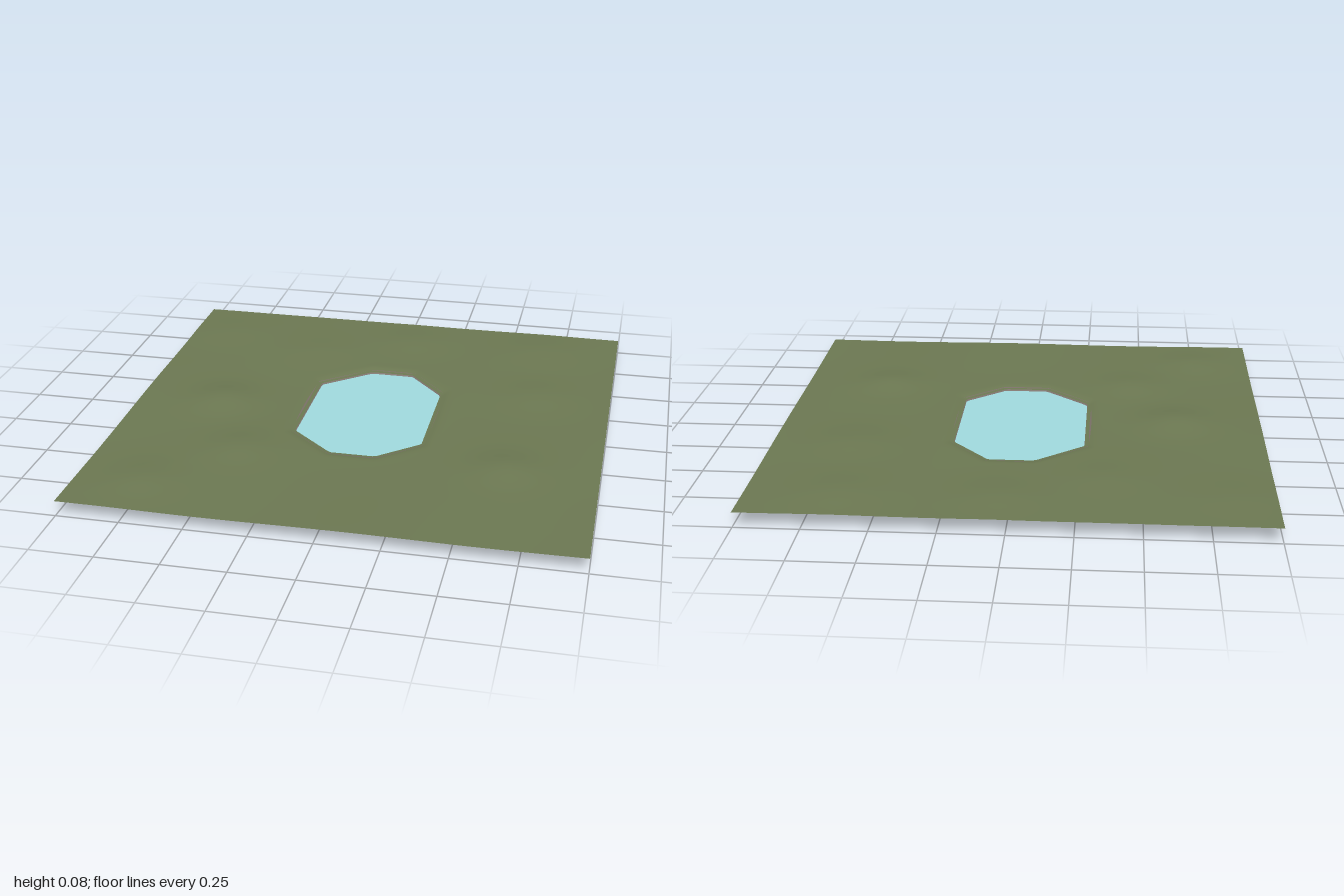
import * as THREE from 'three';

const SEGMENTS = 160;
const CENTRE_Z = -0.02;

// Waterline of the pond: an uneven, elongated octagon (x, z)
const OUTLINE = [
  [0.26, -0.25], [0.26, 0.23], [0.1, 0.37], [-0.08, 0.37],
  [-0.26, 0.21], [-0.26, -0.26], [-0.07, -0.42], [0.11, -0.42],
].map(([x, z]) => [x, z - CENTRE_Z]);

// Low mounds: x, z, height, radius
const MOUNDS = [
  [-0.64, 0, 0.024, 0.14], [0.63, 0.4, 0.02, 0.13], [0.05, -0.79, 0.012, 0.15],
  [-0.45, 0.43, 0.014, 0.13], [-0.75, 0.76, 0.015, 0.13], [0.68, -0.3, 0.013, 0.15],
  [-0.85, -0.75, 0.009, 0.16], [0.65, -0.8, 0.01, 0.15], [-0.35, -0.6, 0.007, 0.14],
];

function groundHeight(x, z) {
  let y = 0.061 + 0.0025 * Math.sin(6 * x + 1) * Math.cos(5 * z + 0.5);
  for (const [mx, mz, h, r] of MOUNDS) {
    y += h * Math.exp(-((x - mx) ** 2 + (z - mz) ** 2) / (r * r));
  }
  return y;
}

// Pond outline grown outward by a margin, hit along a ray from the centre
function pondPoint(angle, margin) {
  const dx = Math.cos(angle), dz = Math.sin(angle);
  let reach = Infinity;
  OUTLINE.forEach(([ax, az], i) => {
    const [bx, bz] = OUTLINE[(i + 1) % OUTLINE.length];
    const length = Math.hypot(bx - ax, bz - az);
    const nx = (bz - az) / length, nz = -(bx - ax) / length;
    const facing = dx * nx + dz * nz;
    if (facing > 1e-6) reach = Math.min(reach, (ax * nx + az * nz + margin) / facing);
  });
  return [dx * reach, dz * reach + CENTRE_Z];
}

// Square of the given half width, corners falling on 45 degree rays
function squarePoint(angle, half) {
  const dx = Math.cos(angle), dz = Math.sin(angle);
  const s = half / Math.max(Math.abs(dx), Math.abs(dz));
  return [dx * s, dz * s];
}

// Closed loops, innermost first, joined into an upward-facing surface
function loft(loops) {
  const positions = [], index = [];
  loops.forEach((loop, j) => {
    for (let i = 0; i < SEGMENTS; i++) {
      positions.push(...loop((i / SEGMENTS) * Math.PI * 2));
      if (j === 0) continue;
      const next = (i + 1) % SEGMENTS;
      const a = (j - 1) * SEGMENTS + i, b = (j - 1) * SEGMENTS + next;
      const c = j * SEGMENTS + i, d = j * SEGMENTS + next;
      index.push(a, b, c, b, d, c);
    }
  });
  const geometry = new THREE.BufferGeometry();
  geometry.setAttribute('position', new THREE.Float32BufferAttribute(positions, 3));
  geometry.setIndex(index);
  geometry.computeVertexNormals();
  return geometry;
}

function addPart(group, name, geometry, color) {
  const material = new THREE.MeshStandardMaterial({ color, side: THREE.DoubleSide });
  const mesh = new THREE.Mesh(geometry, material);
  mesh.name = name;
  group.add(mesh);
  return mesh;
}

export function createModel() {
  const group = new THREE.Group();
  group.name = 'pondTerrain';

  // Grass: rolls down to the pond edge and spreads out to the square border
  const rings = 36;
  const grassLoops = [];
  for (let j = 0; j <= rings; j++) {
    const t = (j / rings) ** 1.3;
    grassLoops.push((angle) => {
      const [px, pz] = pondPoint(angle, 0.008);
      const [sx, sz] = squarePoint(angle, 1);
      const x = px + (sx - px) * t, z = pz + (sz - pz) * t;
      const edge = THREE.MathUtils.smoothstep(Math.hypot(x - px, z - pz), 0, 0.05);
      return [x, 0.052 + (groundHeight(x, z) - 0.052) * edge, z];
    });
  }
  addPart(group, 'grass', loft(grassLoops), 0x6b7751);

  // Soil: flat sheet under the grass with the pond basin sunk into it
  const basinLoop = (margin, y) => (angle) => {
    const [x, z] = pondPoint(angle, margin);
    return [x, y, z];
  };
  const soilLoops = [
    () => [0, 0, CENTRE_Z],
    basinLoop(-0.09, 0),
    basinLoop(-0.07, 0.001),
    basinLoop(-0.03, 0.024),
    basinLoop(0.01, 0.047),
    basinLoop(0.025, 0.055),
    basinLoop(0.04, 0.055),
    (angle) => {
      const [x, z] = squarePoint(angle, 0.93);
      return [x, 0.055, z];
    },
  ];
  addPart(group, 'soilBasin', loft(soilLoops), 0x796e67);

  // Water: a square sheet, cut off visually by the banks
  const water = new THREE.PlaneGeometry(0.91, 0.92).rotateX(-Math.PI / 2);
  addPart(group, 'water', water, 0x9fd8dc).position.y = 0.045;

  return group;
}
